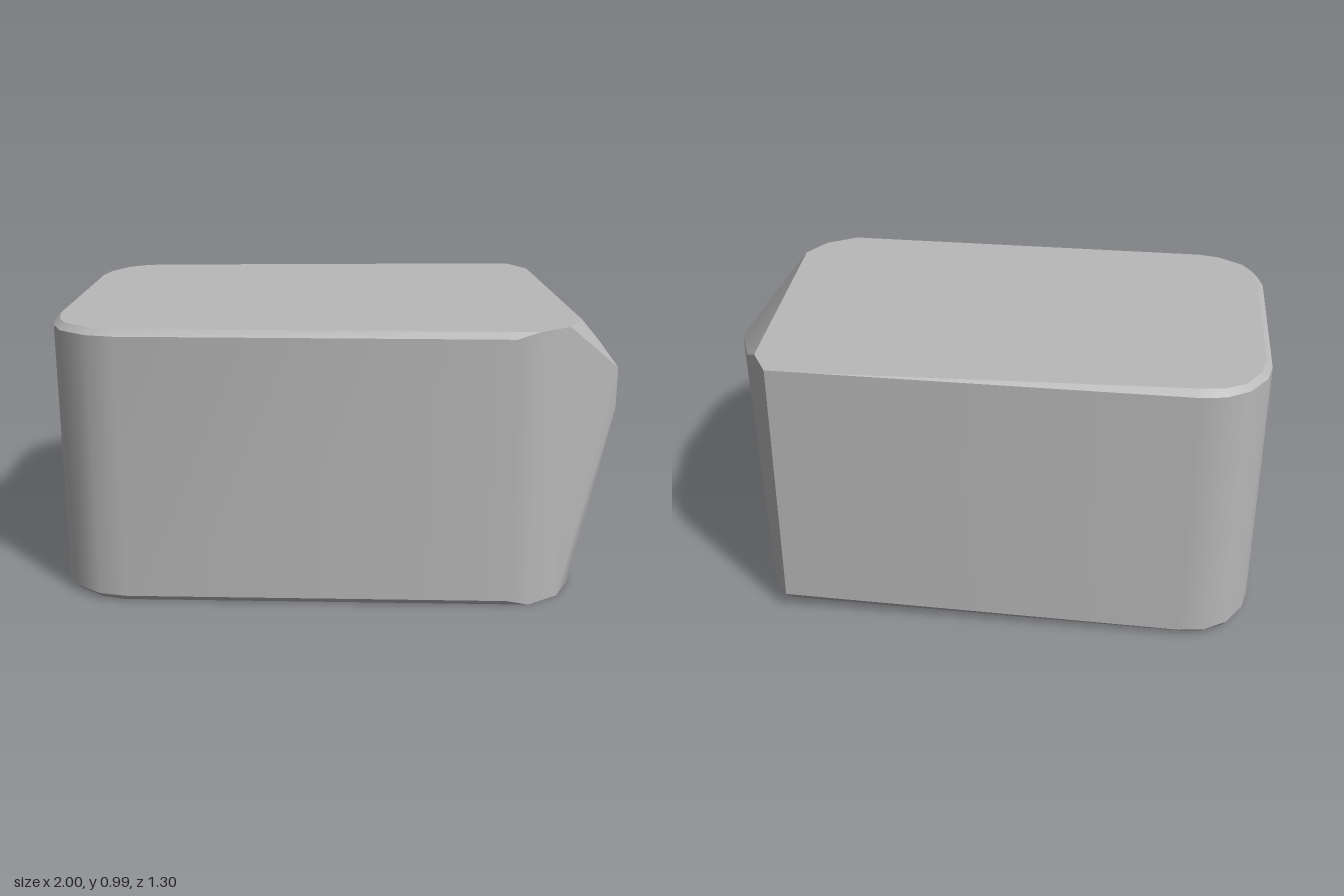
import * as THREE from 'three';
import { ConvexGeometry } from 'three/addons/geometries/ConvexGeometry.js';
import { toCreasedNormals } from 'three/addons/utils/BufferGeometryUtils.js';

const HEIGHT = 0.993;
const BEVEL = 0.022;

// Lift a plan outline of [x, z] pairs to a height
const ring = (outline, y) => outline.map(([x, z]) => new THREE.Vector3(x, y, z));

export function createModel() {
  const model = new THREE.Group();
  const stone = new THREE.MeshStandardMaterial({ color: 0xb8b8b8 });
  stone.name = 'stone grey';

  // Rounded left end and long sides, just inside the bevels
  const outer = [
    [0.61, 0.65], [-0.74, 0.65], [-0.84, 0.63], [-0.94, 0.56], [-0.98, 0.48], [-1, 0.39],
    [-1, -0.35], [-0.98, -0.44], [-0.92, -0.54], [-0.84, -0.595], [-0.75, -0.61],
  ];
  // Bevelled rim of the flat top and bottom
  const inner = [
    [0.61, 0.63], [-0.75, 0.63], [-0.83, 0.61], [-0.925, 0.54], [-0.96, 0.47], [-0.978, 0.38],
    [-0.978, -0.34], [-0.96, -0.43], [-0.905, -0.53], [-0.83, -0.575], [-0.75, -0.585],
  ];
  // Front right corner, running full height without a bevel
  const corner = [[0.69, 0.63], [0.8, 0.55], [0.855, 0.43]];
  // Back right corner differs at the top and the bottom
  const backTop = [[0.57, -0.655], [0.7, -0.655], [0.77, -0.54]];
  const backBottom = [[0.7, -0.585], [0.79, -0.5]];

  const points = [
    ...ring([...inner, ...corner, ...backTop], HEIGHT),
    ...ring(outer, HEIGHT - BEVEL),
    ...ring(outer, BEVEL),
    ...ring([...inner, ...corner, ...backBottom], 0),
    ...ring([[0.7, -0.655]], 0.065),
    ...ring([[0.725, -0.63]], 0.05),
    // Blunt nose and its upper ridge
    ...ring([[1, 0.385], [1, -0.015]], 0.81),
    ...ring([[1, 0.385], [1, 0.09]], 0.66),
    ...ring([[0.825, -0.46]], 0.95),
  ];

  const block = new THREE.Mesh(toCreasedNormals(new ConvexGeometry(points), 0.52), stone);
  block.name = 'stoneBlock';
  model.add(block);
  return model;
}
